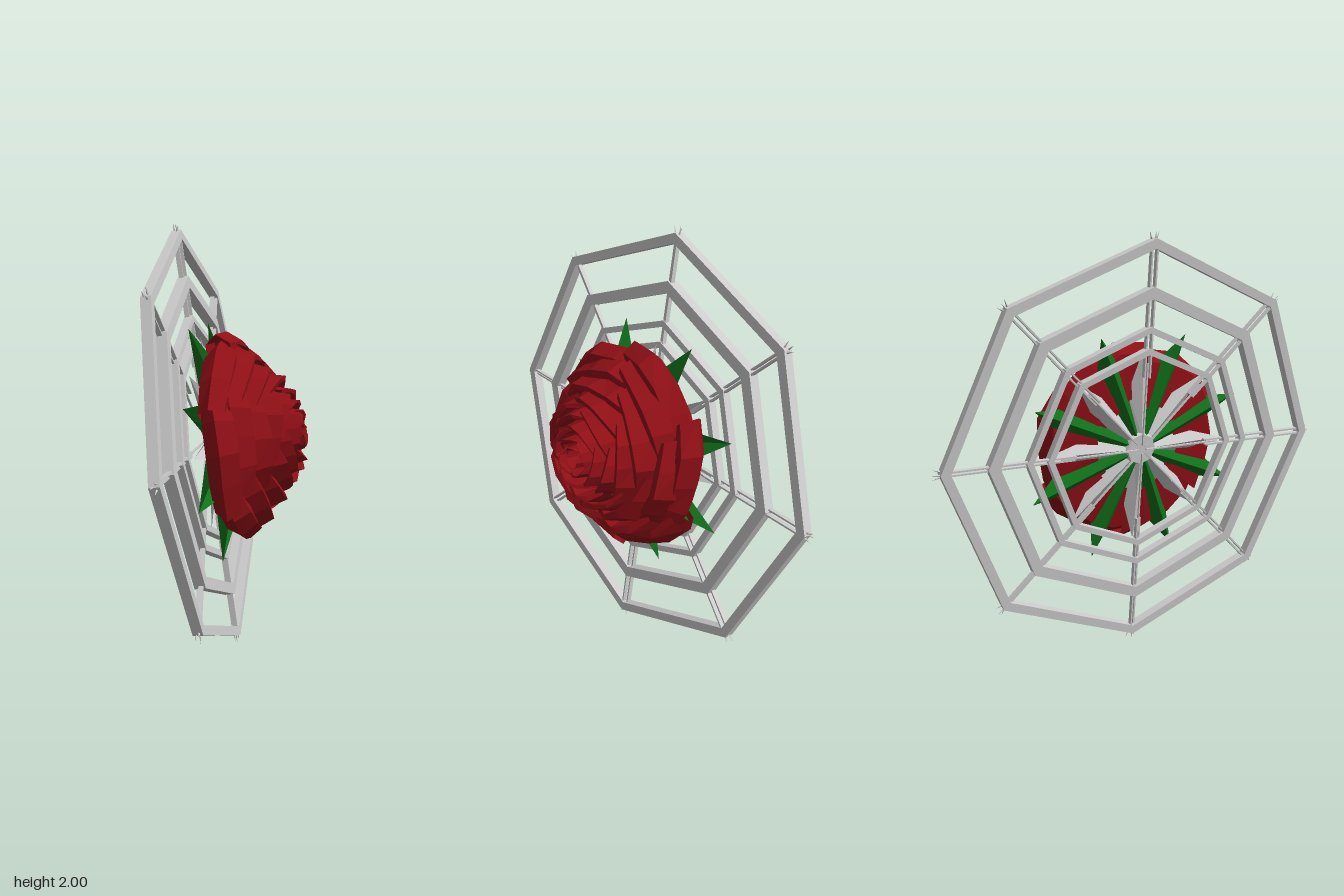
import * as THREE from 'three';

const mat = (color) => new THREE.MeshStandardMaterial({ color, flatShading: true, side: THREE.DoubleSide });
const grey = mat(0xcccccc);
const red = mat(0x8f0f16);
const green = mat(0x10701a);

function add(parent, name, geometry, material) {
  const mesh = new THREE.Mesh(geometry, material);
  mesh.name = name;
  parent.add(mesh);
  return mesh;
}

// Grid surface from rows of equally many points
function sheet(rows) {
  const w = rows[0].length, index = [];
  for (let j = 0; j < rows.length - 1; j++) {
    for (let i = 0; i < w - 1; i++) {
      const a = j * w + i;
      index.push(a, a + 1, a + w, a + 1, a + w + 1, a + w);
    }
  }
  const g = new THREE.BufferGeometry();
  g.setAttribute('position', new THREE.Float32BufferAttribute(rows.flat(2), 3));
  g.setIndex(index);
  g.computeVertexNormals();
  return g;
}

// Flat octagonal frame with corners on the spokes
function octagonFrame(radius, width, depth) {
  const ring = (r) => Array.from({ length: 8 }, (_, k) =>
    new THREE.Vector2(r * Math.cos(k * Math.PI / 4), r * Math.sin(k * Math.PI / 4)));
  const shape = new THREE.Shape(ring(radius));
  shape.holes.push(new THREE.Path(ring(radius - width).reverse()));
  return new THREE.ExtrudeGeometry(shape, { depth, bevelEnabled: false }).translate(0, 0, -depth / 2);
}

// Folded pointed leaf along +x, ridge towards the back
function sepalGeometry(length, halfWidth, lift) {
  return sheet([
    [[0.07, -0.02, 0.03], [0.07, 0, 0.01], [0.07, 0.02, 0.03]],
    [[length * 0.55, -halfWidth, lift], [length * 0.55, 0, 0.025], [length * 0.55, halfWidth, lift]],
    [[length, 0, 0.04], [length, 0, 0.04], [length, 0, 0.04]],
  ]);
}

// Cupped petal: a wall that bulges, then folds in at a pointed rim
function petalGeometry(radius, base, rim, span, seed) {
  const h = rim - base, cols = 4;
  const profile = [[0.45, 0], [0.9, 0.16], [1.0, 0.55], [0.9, 0.98], [0.82, 0.95], [0.78, 0.5]];
  return sheet(profile.map(([pr, pd], j) =>
    Array.from({ length: cols + 1 }, (_, i) => {
      const t = i / cols * 2 - 1;
      const a = t * span / 2;
      const wobble = 0.025 * Math.sin(seed * 7.3 + i * 2.1 + j * 0.6);
      const r = radius * (pr + 0.05 * t + wobble);
      const drop = pd * h * 0.22 * t * t;
      return [r * Math.cos(a), r * Math.sin(a), base + pd * h - drop + wobble * 0.2];
    })));
}

function buildWeb() {
  const web = new THREE.Group();
  web.name = 'web';
  const frames = [[0.98, 0.045, 0.045], [0.77, 0.055, 0.05], [0.59, 0.03, 0.04], [0.49, 0.03, 0.04]];
  for (const [r, w, d] of frames) add(web, 'webRing', octagonFrame(r, w, d), grey);

  for (let k = 0; k < 8; k++) {
    const spoke = new THREE.Group();
    spoke.name = 'spoke';
    spoke.rotation.z = k * Math.PI / 4;
    // Twin strips
    for (const s of [-1, 1]) {
      const strip = add(spoke, 'spokeStrip', new THREE.BoxGeometry(0.62, 0.008, 0.022), grey);
      strip.position.set(0.66, s * 0.01, -s * 0.006);
    }
    // Thin inner strand to the centre
    add(spoke, 'innerStrand', new THREE.BoxGeometry(0.4, 0.007, 0.01), grey).position.set(0.22, 0, -0.005);
    // Splayed barbs at the tip
    for (const s of [-1, 0, 1]) {
      const barb = add(spoke, 'barb', new THREE.ConeGeometry(0.009, 0.06, 4), grey);
      barb.position.set(0.98, s * 0.014, s * s * 0.014 - 0.007);
      barb.rotation.z = -Math.PI / 2 + s * 0.35;
    }
    web.add(spoke);
  }
  return web;
}

function buildCalyx() {
  const calyx = new THREE.Group();
  calyx.name = 'calyx';
  const large = sepalGeometry(0.58, 0.09, 0.12);
  const small = sepalGeometry(0.48, 0.055, 0.07);
  for (let k = 0; k < 8; k++) {
    add(calyx, 'greenSepal', large, green).rotation.z = (k + 0.5) * Math.PI / 4;
    add(calyx, 'greySepal', small, grey).rotation.z = k * Math.PI / 4;
  }
  const hub = add(calyx, 'hub', new THREE.CylinderGeometry(0.1, 0.075, 0.05, 8), grey);
  hub.rotation.x = Math.PI / 2;
  hub.position.z = 0.03;
  return calyx;
}

function buildRose() {
  const rose = new THREE.Group();
  rose.name = 'rose';
  // radius, base, rim, petal count
  const layers = [
    [0.48, 0.05, 0.23, 6], [0.42, 0.09, 0.30, 6], [0.345, 0.13, 0.36, 5], [0.28, 0.18, 0.41, 5],
    [0.215, 0.23, 0.44, 5], [0.155, 0.27, 0.465, 4], [0.1, 0.3, 0.475, 4], [0.055, 0.32, 0.47, 3],
  ];
  layers.forEach(([r, base, rim, n], i) => {
    for (let k = 0; k < n; k++) {
      const span = Math.PI * 2 / n * 1.22;
      const petal = add(rose, 'petal', petalGeometry(r, base, rim, span, i * 3 + k), red);
      petal.rotation.z = i * 0.9 + k * Math.PI * 2 / n;
    }
  });
  // Closed core under the petals
  const core = add(rose, 'core', new THREE.CylinderGeometry(0.05, 0.3, 0.3, 10), red);
  core.rotation.x = Math.PI / 2;
  core.position.z = 0.24;
  return rose;
}

export function createModel() {
  const model = new THREE.Group();
  model.name = 'roseOnWeb';
  // Tilt the ornament: local y is up the web, local z points out of the rose
  const y = new THREE.Vector3(-0.113, 0.99, -0.103).normalize();
  const x = new THREE.Vector3(0.575, -0.02, -0.82);
  const z = new THREE.Vector3().crossVectors(x, y).normalize();
  x.crossVectors(y, z);
  const ornament = new THREE.Group();
  ornament.name = 'ornament';
  ornament.quaternion.setFromRotationMatrix(new THREE.Matrix4().makeBasis(x, y, z));
  ornament.position.y = 1;
  ornament.add(buildWeb(), buildCalyx(), buildRose());
  model.add(ornament);
  return model;
}
